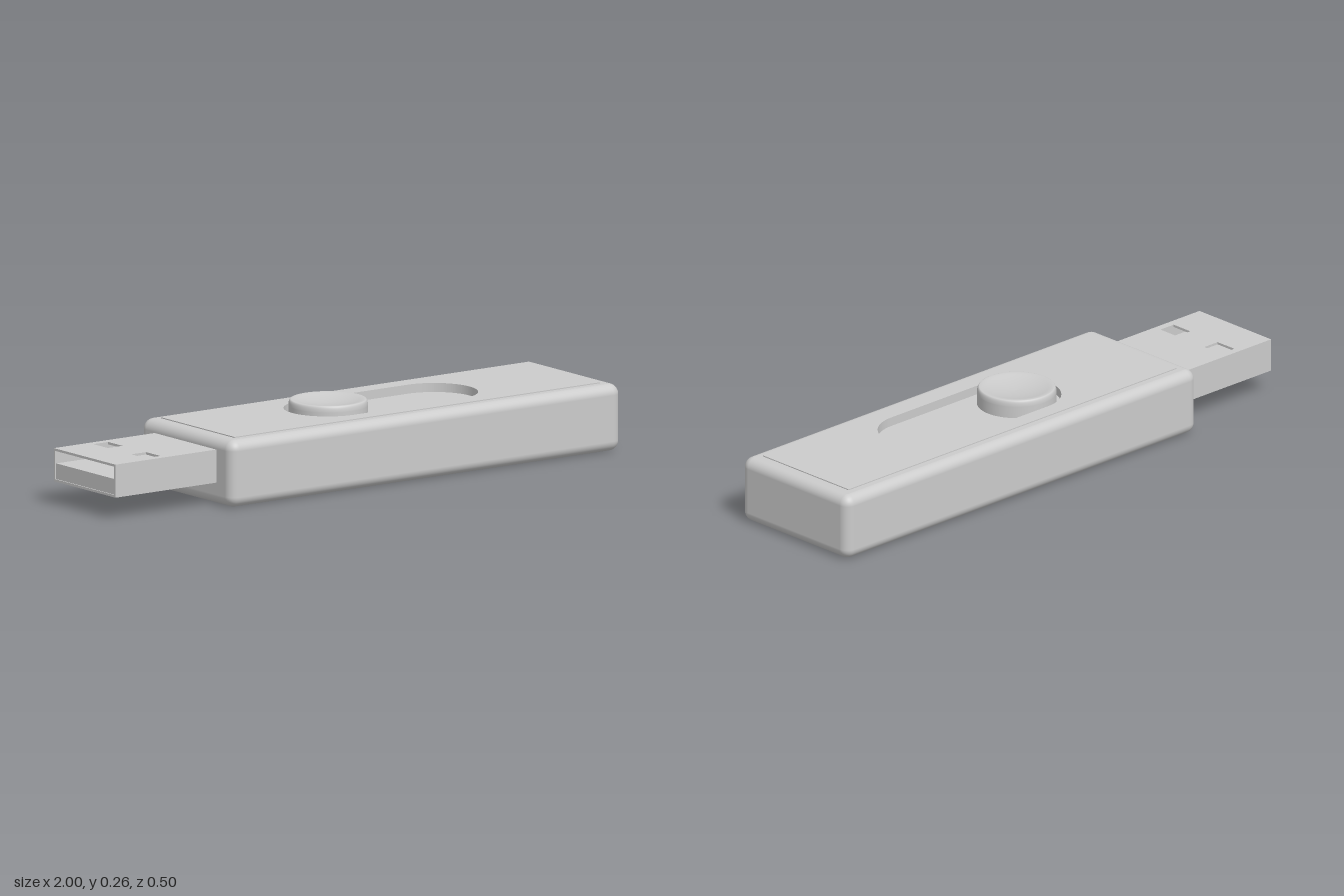
import * as THREE from 'three';
import { RoundedBoxGeometry } from 'three/addons/geometries/RoundedBoxGeometry.js';

const material = new THREE.MeshStandardMaterial({ color: 0xcccccc });
const doubleSided = new THREE.MeshStandardMaterial({ color: 0xcccccc, side: THREE.DoubleSide });

function addPart(parent, name, geometry, x = 0, y = 0, z = 0, mat = material) {
  const mesh = new THREE.Mesh(geometry, mat);
  mesh.name = name;
  mesh.position.set(x, y, z);
  parent.add(mesh);
  return mesh;
}

// Rectangle outline in plan, from x0 to x1 and symmetric or offset in depth
function rect(Type, x0, x1, z0, z1) {
  const p = new Type();
  p.moveTo(x0, z0);
  p.lineTo(x1, z0);
  p.lineTo(x1, z1);
  p.lineTo(x0, z1);
  p.closePath();
  return p;
}

// Straight slot with round ends centred at x0 and x1
function stadium(Type, x0, x1, r) {
  const p = new Type();
  p.moveTo(x0, -r);
  p.lineTo(x1, -r);
  p.absarc(x1, 0, r, -Math.PI / 2, Math.PI / 2, false);
  p.lineTo(x0, r);
  p.absarc(x0, 0, r, Math.PI / 2, Math.PI * 1.5, false);
  return p;
}

// Extrude a plan outline upwards from y = 0
function slab(shape, depth) {
  return new THREE.ExtrudeGeometry(shape, { depth, bevelEnabled: false, curveSegments: 32 }).rotateX(-Math.PI / 2);
}

// Rounded shell with the flat part of its top removed, leaving room for the recess
function openRoundedBox(w, h, d, r) {
  const g = new RoundedBoxGeometry(w, h, d, 5, r);
  const { position, normal } = g.attributes;
  const keptP = [], keptN = [];
  for (let i = 0; i < position.count; i += 3) {
    const flatTop = [0, 1, 2].every((k) => position.getY(i + k) > h / 2 - 1e-4);
    if (flatTop) continue;
    for (let k = 0; k < 3; k++) {
      keptP.push(position.getX(i + k), position.getY(i + k), position.getZ(i + k));
      keptN.push(normal.getX(i + k), normal.getY(i + k), normal.getZ(i + k));
    }
  }
  const out = new THREE.BufferGeometry();
  out.setAttribute('position', new THREE.Float32BufferAttribute(keptP, 3));
  out.setAttribute('normal', new THREE.Float32BufferAttribute(keptN, 3));
  return out;
}

function createBody() {
  const body = new THREE.Group();
  body.name = 'body';
  const x0 = -0.59, x1 = 1, top = 0.223, half = 0.25, r = 0.035;
  addPart(body, 'casing', openRoundedBox(x1 - x0, top, half * 2, r), (x0 + x1) / 2, top / 2, 0);

  // Flat rim between the rounded edge and the raised panel
  const rim = rect(THREE.Shape, x0 + r - 0.006, x1 - r + 0.006, -half + r - 0.006, half - r + 0.006);
  rim.holes.push(rect(THREE.Path, -0.54, 0.945, -0.2, 0.2));
  addPart(body, 'topRim', new THREE.ShapeGeometry(rim).rotateX(-Math.PI / 2), 0, top - 0.0003, 0, doubleSided);

  // Panel with the slide slot cut through it
  const panel = rect(THREE.Shape, -0.54, 0.945, -0.2, 0.2);
  panel.holes.push(stadium(THREE.Path, -0.013, 0.421, 0.143));
  addPart(body, 'topPanel', slab(panel, 0.031), 0, 0.195, 0);
  const floor = new THREE.ShapeGeometry(stadium(THREE.Shape, -0.013, 0.421, 0.145), 32);
  addPart(body, 'slotFloor', floor.rotateX(-Math.PI / 2), 0, 0.196, 0);
  return body;
}

function createButton() {
  // Round thumb slider with a softened edge and a dished top
  const profile = new THREE.Path();
  profile.moveTo(0.13, 0);
  profile.lineTo(0.13, 0.04);
  profile.quadraticCurveTo(0.129, 0.06, 0.122, 0.061);
  profile.lineTo(0.114, 0.061);
  profile.quadraticCurveTo(0.06, 0.047, 0, 0.046);
  const points = profile.getPoints(10);
  return new THREE.LatheGeometry(points, 64);
}

function createConnector() {
  const plug = new THREE.Group();
  plug.name = 'connector';
  const x0 = -1, x1 = -0.57, y0 = 0.075, y1 = 0.185, half = 0.168, t = 0.008;
  const cx = (x0 + x1) / 2, length = x1 - x0;

  // Metal sleeve, open at the tip
  addPart(plug, 'sleeveBottom', new THREE.BoxGeometry(length, t, half * 2), cx, y0 + t / 2, 0);
  for (const side of [-1, 1]) {
    addPart(plug, side > 0 ? 'sleeveFront' : 'sleeveBack',
      new THREE.BoxGeometry(length, y1 - y0 - 2 * t, t), cx, (y0 + y1) / 2, side * (half - t / 2));
  }
  const lid = rect(THREE.Shape, x0, x1, -half, half);
  for (const z of [-0.103, 0.103]) {
    lid.holes.push(rect(THREE.Path, -0.858, -0.798, z - 0.039, z + 0.039));
  }
  addPart(plug, 'sleeveTop', slab(lid, t), 0, y1 - t, 0);

  // Contact block filling the lower half of the sleeve
  addPart(plug, 'contactBlock', new THREE.BoxGeometry(length - 0.004, 0.052, (half - t) * 2), cx + 0.002, y0 + t + 0.026, 0);
  return plug;
}

export function createModel() {
  const model = new THREE.Group();
  model.name = 'slidingFlashDrive';
  model.add(createBody(), createConnector());
  addPart(model, 'slideButton', createButton(), -0.01, 0.195, 0, doubleSided);
  return model;
}
